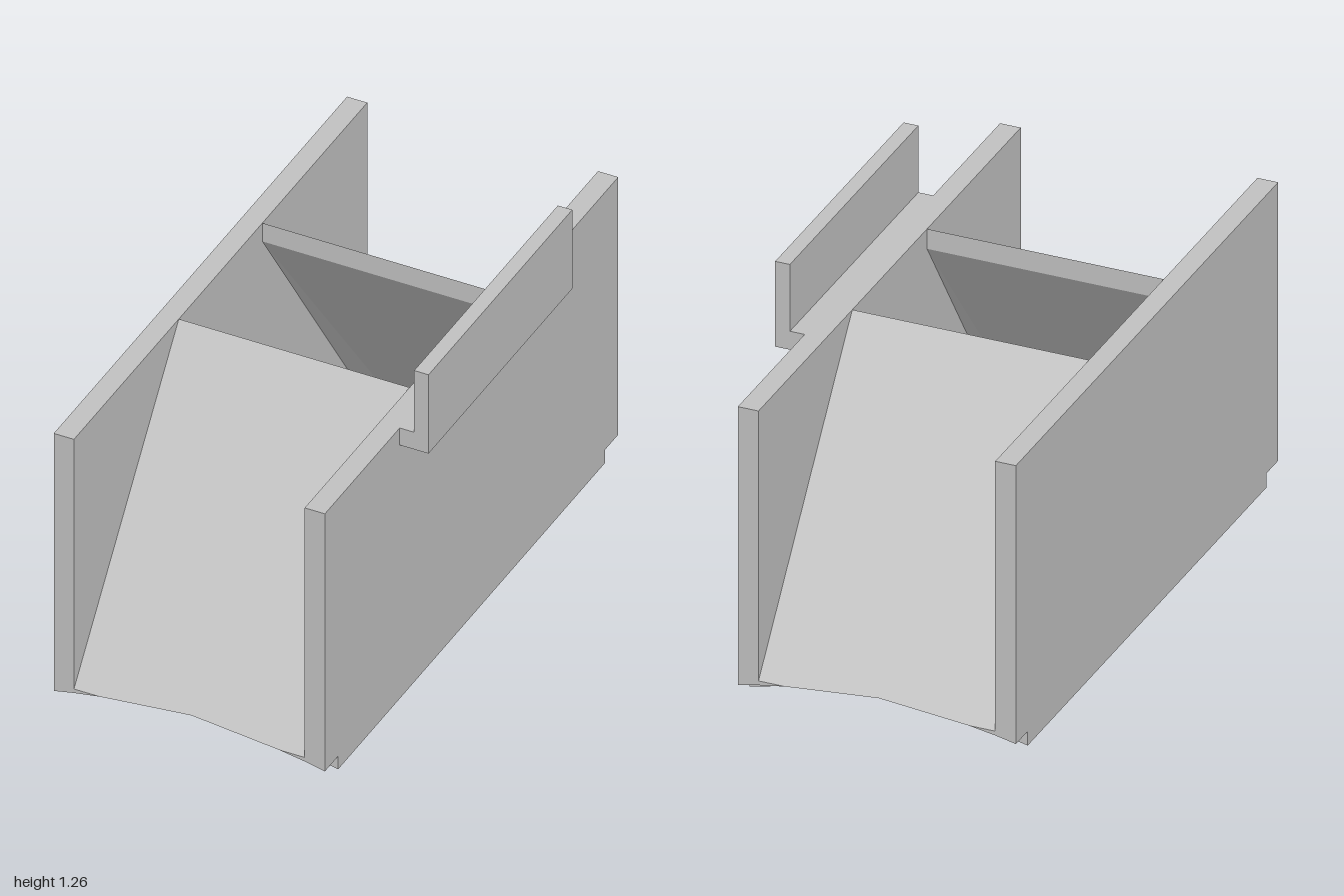
import * as THREE from 'three';

const CX = -0.05; // centre line between the two walls

// Extrudes an xy outline along z, centred on z = 0.
function prism(points, halfLength, material, name) {
  const shape = new THREE.Shape(points.map(([x, y]) => new THREE.Vector2(x, y)));
  const geometry = new THREE.ExtrudeGeometry(shape, { depth: 2 * halfLength, bevelEnabled: false });
  geometry.translate(0, 0, -halfLength);
  const mesh = new THREE.Mesh(geometry, material);
  mesh.name = name;
  return mesh;
}

// Sloping plate whose lower edge is cut by a shallow arch.
function slopeGeometry() {
  const arch = [[-0.4, 0.065], [-0.31, 0.08], [0, 0.1], [0.31, 0.08], [0.4, 0.065]];
  const run = 0.715 / 0.95;
  const sections = arch.map(([x, a]) => {
    const top = Math.max(a, 0.08);
    const zOuter = 1 - (top - 0.08) * run;
    const low = Math.min(a, 0.075);
    return [
      [0.285, 1.03], [zOuter, top], [zOuter, a], [0.91, a],
      [0.91, low], [0.89, low], [0.285, 0.96],
    ].map(([z, y]) => [x, y, z]);
  });
  const positions = [];
  for (let s = 0; s < sections.length - 1; s++) {
    const p = sections[s], q = sections[s + 1];
    for (let i = 0; i < p.length; i++) {
      const j = (i + 1) % p.length;
      positions.push(...p[i], ...p[j], ...q[j], ...p[i], ...q[j], ...q[i]);
    }
  }
  const geometry = new THREE.BufferGeometry();
  geometry.setAttribute('position', new THREE.Float32BufferAttribute(positions, 3));
  geometry.computeVertexNormals();
  return geometry;
}

export function createModel() {
  const model = new THREE.Group();
  model.name = 'slopedHopper';
  const grey = new THREE.MeshStandardMaterial({ color: 0xc0c0c0 });
  grey.name = 'plainGrey';

  // Side walls, with a shorter slanted foot below each
  for (const side of [-1, 1]) {
    const outer = CX + side * 0.47, inner = CX + side * 0.4;
    const wall = new THREE.Group();
    wall.name = side > 0 ? 'leftWall' : 'rightWall';
    wall.add(
      prism([[outer, 0.05], [inner, 0.065], [inner, 1.03], [outer, 1.03]], 1, grey, 'wallPanel'),
      prism([[outer, 0], [inner, 0.015], [inner, 0.065], [outer, 0.05]], 0.91, grey, 'wallFoot'),
    );
    model.add(wall);
  }

  // Front and back sloping plates, leaning towards the open middle
  const slope = slopeGeometry();
  for (const [name, turn] of [['frontSlope', 0], ['backSlope', Math.PI]]) {
    const plate = new THREE.Mesh(slope, grey);
    plate.name = name;
    plate.position.x = CX;
    plate.rotation.y = turn;
    model.add(plate);
  }

  // L-shaped rail on the outside of the left wall
  model.add(prism(
    [[0.42, 0.965], [0.52, 0.965], [0.52, 1.265], [0.47, 1.265], [0.47, 1.03], [0.42, 1.03]],
    0.49, grey, 'sideRail',
  ));

  return model;
}
